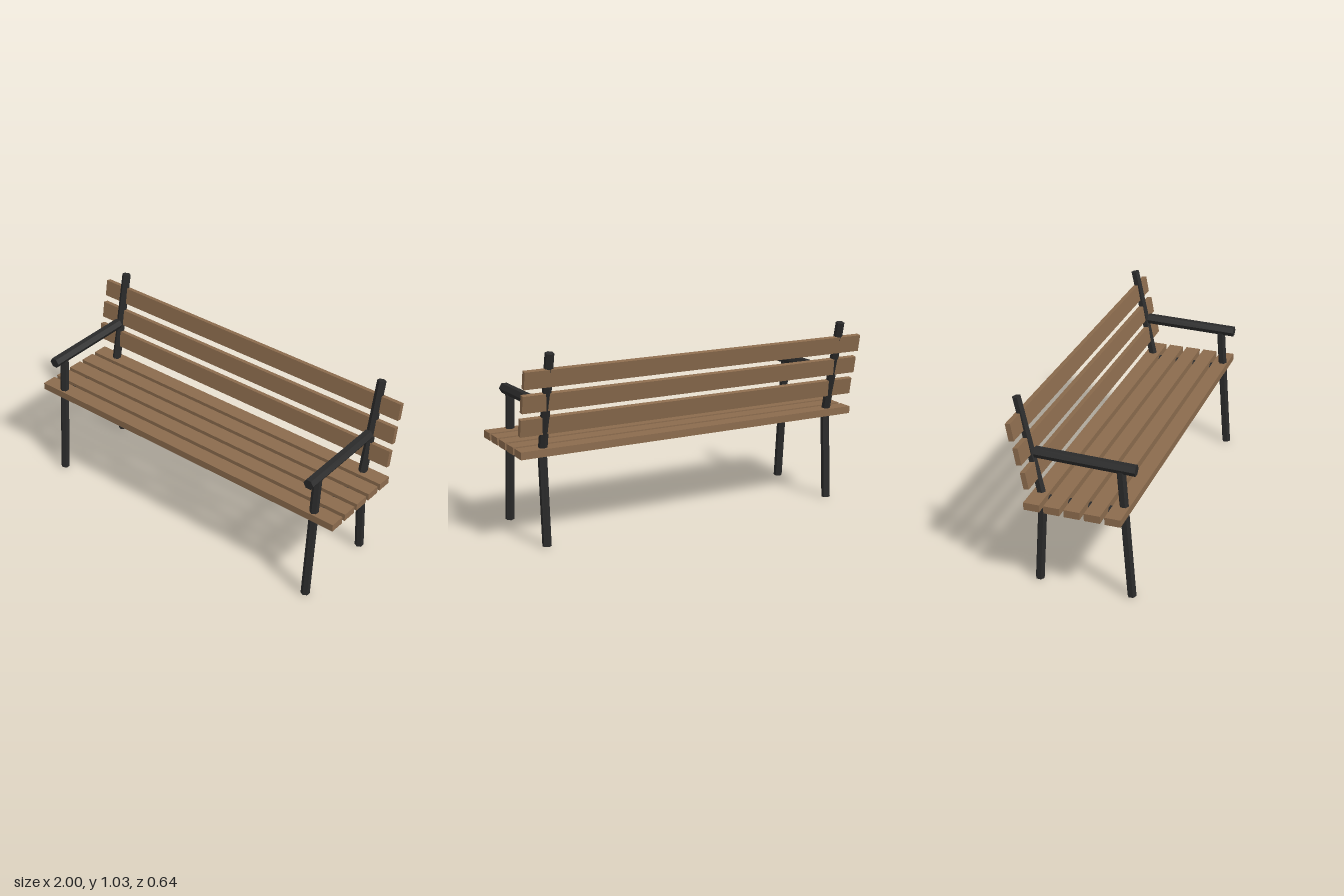
import * as THREE from 'three';

const wood = new THREE.MeshStandardMaterial({ color: 0x8b6b4d, flatShading: true });
wood.name = 'brown wood';
const iron = new THREE.MeshStandardMaterial({ color: 0x2a2a2a, flatShading: true });
iron.name = 'black iron';

// Hexagonal bar between two [y, z] points; turn spins the hexagon about its axis
function bar(name, [y0, z0], [y1, z1], radius, turn = 0) {
  const a = new THREE.Vector3(0, y0, z0);
  const b = new THREE.Vector3(0, y1, z1);
  const geometry = new THREE.CylinderGeometry(radius, radius, a.distanceTo(b), 6);
  geometry.rotateY(turn);
  const mesh = new THREE.Mesh(geometry, iron);
  mesh.name = name;
  mesh.position.copy(a).add(b).multiplyScalar(0.5);
  mesh.quaternion.setFromUnitVectors(new THREE.Vector3(0, 1, 0), b.sub(a).normalize());
  return mesh;
}

// Full-width plank
function slat(name, height, depth, y, z, tilt = 0) {
  const mesh = new THREE.Mesh(new THREE.BoxGeometry(2, height, depth), wood);
  mesh.name = name;
  mesh.position.set(0, y, z);
  mesh.rotation.x = tilt;
  return mesh;
}

export function createModel() {
  const model = new THREE.Group();
  model.name = 'bench';

  // Iron frame on each side
  for (const side of [-1, 1]) {
    const frame = new THREE.Group();
    frame.name = side > 0 ? 'leftFrame' : 'rightFrame';
    frame.position.x = side * 0.865;
    frame.add(
      bar('frontLeg', [0.002, 0.294], [0.725, 0.238], 0.024),
      bar('rearLeg', [0.002, -0.205], [0.49, -0.173], 0.024),
      bar('backPost', [0.48, -0.173], [1.023, -0.294], 0.024),
      bar('seatSupport', [0.481, 0.26], [0.481, -0.175], 0.0235, Math.PI / 2),
      bar('armrest', [0.727, 0.317], [0.737, -0.207], 0.0295, Math.PI / 2),
    );
    model.add(frame);
  }

  // Seat planks
  for (let i = 0; i < 5; i++) {
    model.add(slat('seatSlat', 0.04, 0.083, 0.5, 0.242 - i * 0.1055));
  }

  // Backrest planks, leaning back
  for (let i = 0; i < 3; i++) {
    model.add(slat('backSlat', 0.092, 0.028, 0.642 + i * 0.1275, -0.21 - i * 0.0335, -0.18));
  }

  return model;
}
